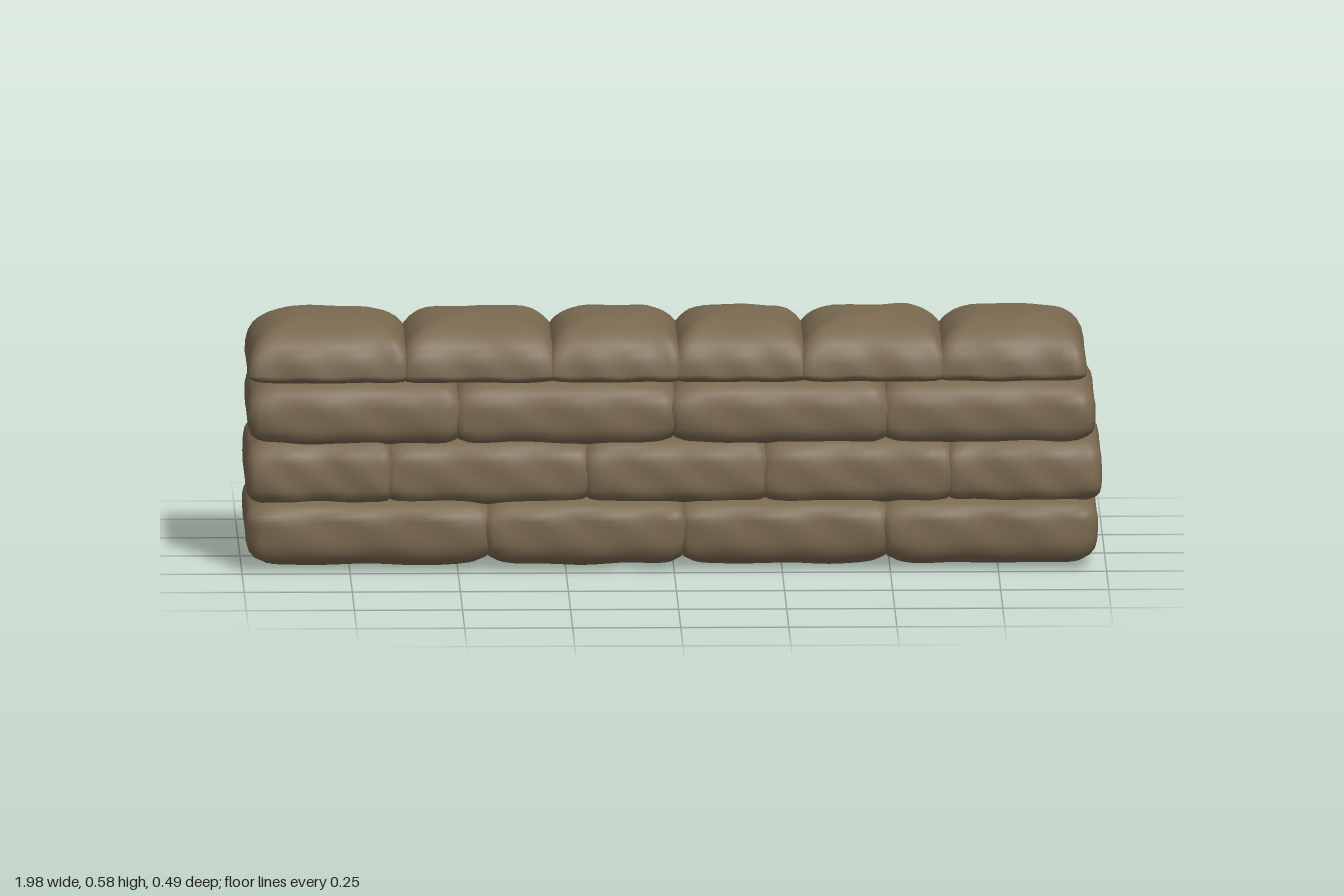
import * as THREE from 'three';
import { mergeVertices } from 'three/addons/utils/BufferGeometryUtils.js';

const burlap = new THREE.MeshStandardMaterial({ color: 0x7a6950, side: THREE.DoubleSide });
burlap.name = 'brown burlap';

// Each course: bottom, seam and top heights, depth range, fullness below and above the seam,
// and the joints between bags.
const courses = [
  { y: [0.008, 0.11, 0.178], z: [-0.236, 0.236], full: [4.5, 3.6], joints: [-0.99, -0.43, 0.02, 0.49, 0.98] },
  { y: [0.15, 0.22, 0.315], z: [-0.23, 0.215], full: [4.5, 4.5], joints: [-0.99, -0.66, -0.2, 0.21, 0.64, 0.99] },
  { y: [0.288, 0.365, 0.457], z: [-0.22, 0.211], full: [4.5, 3.3], joints: [-0.985, -0.5, 0, 0.49, 0.975] },
  { y: [0.432, 0.46, 0.582], z: [-0.208, 0.202], full: [3, 2.6], joints: [-0.985, -0.62, -0.28, 0.01, 0.3, 0.62, 0.955] },
];

// Stuffed bag: a box projected onto a rounded pillow, with a low or high side seam.
function bagGeometry(length, depth, below, above, full, seed) {
  let geo = new THREE.BoxGeometry(2, 2, 2, 18, 10, 14);
  geo.deleteAttribute('normal');
  geo.deleteAttribute('uv');
  geo = mergeVertices(geo);
  const p = geo.attributes.position;
  for (let i = 0; i < p.count; i++) {
    let x = p.getX(i), y = p.getY(i), z = p.getZ(i);
    const plan = Math.pow(Math.abs(x) ** 14 + Math.abs(z) ** 14, 1 / 14);
    const power = y < 0 ? full[0] : full[1];
    const k = Math.pow(plan ** power + Math.abs(y) ** power, -1 / power);
    x *= k; y *= k; z *= k;
    // Creases in the cloth and slightly pulled corners
    const crease = 0.018 * Math.sin(5 * x + seed * 2.1) * Math.sin(4 * z + seed * 1.3)
      + 0.01 * Math.sin(9 * x - 6 * z + 5 * y + seed);
    const corner = 0.025 * (x * z) ** 4 * (1 - Math.abs(y));
    p.setXYZ(i,
      x * (1 + corner) * length / 2,
      y * (y < 0 ? below : above) * (1 + crease * 0.8),
      z * (1 + corner + crease) * depth / 2);
  }
  geo.computeVertexNormals();
  return geo;
}

export function createModel() {
  const wall = new THREE.Group();
  wall.name = 'sandbagWall';
  const overlap = 0.014;
  courses.forEach(({ y, z, full, joints }, row) => {
    const course = new THREE.Group();
    course.name = `course${row + 1}`;
    for (let i = 0; i < joints.length - 1; i++) {
      const a = joints[i] - (i > 0 ? overlap : 0);
      const b = joints[i + 1] + (i < joints.length - 2 ? overlap : 0);
      const geo = bagGeometry(b - a, z[1] - z[0], y[1] - y[0], y[2] - y[1], full, row * 7 + i * 3 + 1);
      const bag = new THREE.Mesh(geo, burlap);
      bag.name = `sandbag${row + 1}_${i + 1}`;
      bag.position.set((a + b) / 2, y[1], (z[0] + z[1]) / 2);
      course.add(bag);
    }
    wall.add(course);
  });
  return wall;
}
